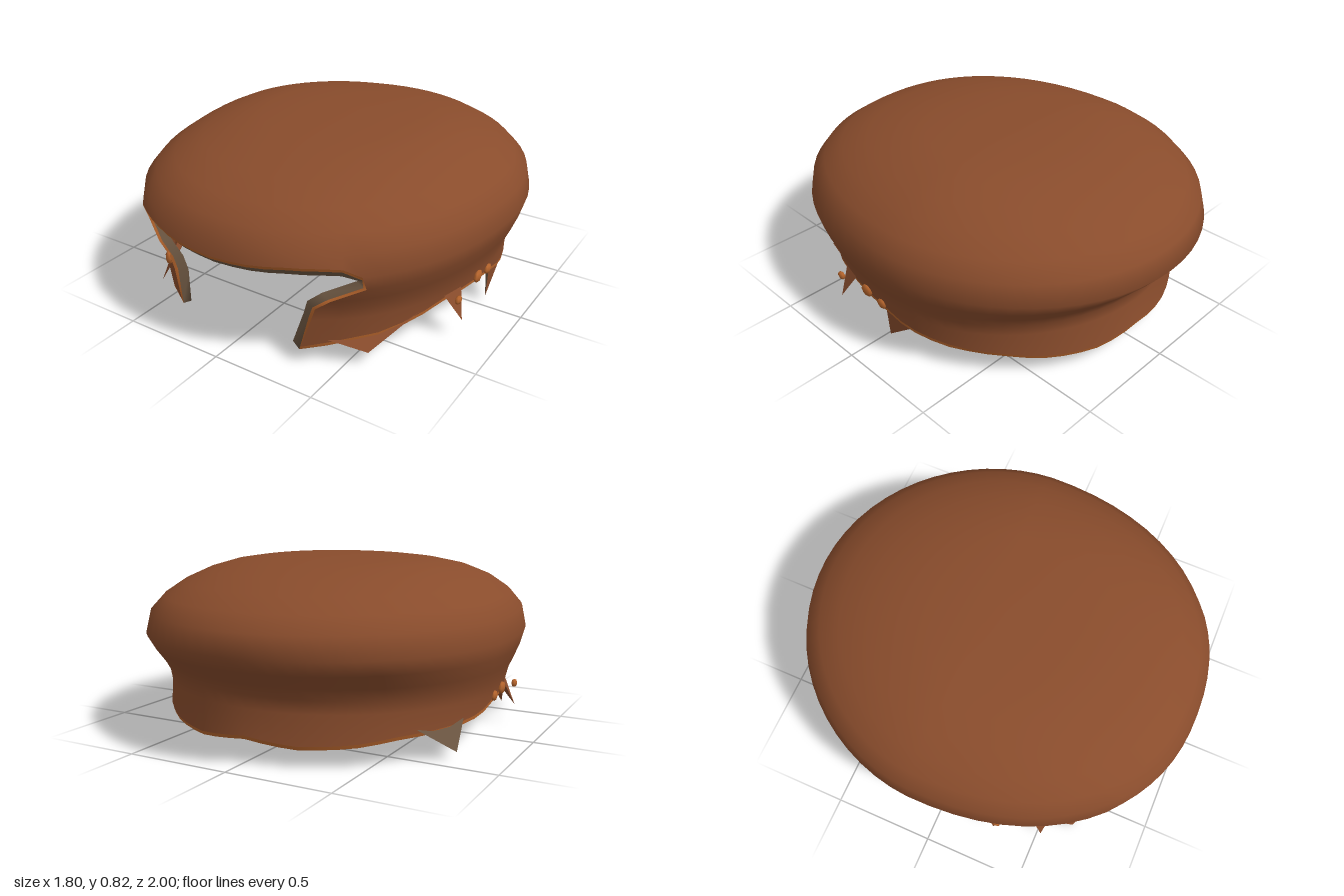
import * as THREE from 'three';

const mat = (name, color, side = THREE.FrontSide) => {
  const m = new THREE.MeshStandardMaterial({ color, side });
  m.name = name;
  return m;
};

// piecewise linear lookup in [[key, value], ...] with rising keys
function lookup(table, k) {
  if (k <= table[0][0]) return table[0][1];
  for (let i = 1; i < table.length; i++) {
    const [k0, v0] = table[i - 1], [k1, v1] = table[i];
    if (k <= k1) return v0 + (v1 - v0) * (k - k0) / (k1 - k0);
  }
  return table[table.length - 1][1];
}

// rows from crown to hem: height, half width, front z, back z, start angle of the side locks
const ROWS = [
  [0.825, 0, -0.08, -0.08], [0.822, 0.22, 0.17, -0.2], [0.812, 0.4, 0.36, -0.34],
  [0.795, 0.51, 0.5, -0.48], [0.76, 0.63, 0.69, -0.64], [0.71, 0.735, 0.84, -0.79],
  [0.65, 0.82, 0.93, -0.9], [0.58, 0.88, 0.98, -0.975], [0.48, 0.9, 1, -1.003, 0.695],
  [0.41, 0.88, 0.985, -0.945, 0.72], [0.345, 0.855, 0.95, -0.88, 0.55], [0.29, 0.83, 0.92, -0.845, 0.47],
  [0.23, 0.815, 0.91, -0.84, 0.45], [0.1, 0.81, 0.905, -0.865, 0.39],
];
const BROW = 8, LAST = ROWS.length - 1, FRONT = 8, HALF = 32, COLS = 64, A0 = 0.695, CZ = -0.08;
const BROW_EDGE = [[0, 0.505], [0.2, 0.515], [0.36, 0.53], [0.56, 0.53], [0.63, 0.52], [A0, 0.48]];
const HEM = [[0.39, 0.085], [0.52, 0.11], [0.65, 0.13], [0.75, 0.13], [0.95, 0.16], [1.2, 0.205],
  [1.35, 0.2], [1.5, 0.195], [1.7, 0.16], [2, 0.14], [2.3, 0.13], [2.55, 0.105], [2.85, 0.095], [Math.PI, 0.12]];

// point on the outer surface
function surfacePoint(row, col) {
  const side = col > HALF ? -1 : 1;
  const j = col > HALF ? COLS - col : col;
  let a = j <= FRONT ? A0 * j / FRONT : A0 + (Math.PI - A0) * (j - FRONT) / (HALF - FRONT);
  let [y, w, f, b, start] = ROWS[row];
  if (row > BROW) {
    const t = Math.max(0, (a - A0) / (Math.PI - A0));
    a += (start - A0) * (1 - t) ** 3;
  }
  if (row === BROW && j < FRONT) y = lookup(BROW_EDGE, a);
  if (row === LAST) y = lookup(HEM, a);
  const s = Math.sin(a), c = Math.cos(a);
  const e = c > 0 ? 0.91 : 1.06;
  const x = side * w * Math.abs(s) ** (c > 0 ? 0.91 : 1);
  const z = CZ + Math.abs(c) ** e * ((c > 0 ? f : b) - CZ);
  return new THREE.Vector3(x, y, z);
}

function buildGeometry(positions, index) {
  const g = new THREE.BufferGeometry();
  g.setAttribute('position', new THREE.Float32BufferAttribute(positions, 3));
  g.setIndex(index);
  g.computeVertexNormals();
  return g;
}

// strip between two closed loops of points
function ribbon(loopA, loopB) {
  const n = loopA.length, pos = [], idx = [];
  for (const p of [...loopA, ...loopB]) pos.push(p.x, p.y, p.z);
  for (let i = 0; i < n; i++) {
    const k = (i + 1) % n;
    idx.push(i, n + i, n + k, i, n + k, k);
  }
  return buildGeometry(pos, idx);
}

// pointed blade hanging from two hem points and one point behind them; group 1 is its back
function blade(a, b, c, tip) {
  const pos = [a, b, c, tip].flatMap((p) => p.toArray());
  const g = buildGeometry(pos, [0, 3, 1, 1, 3, 2, 2, 3, 0, 0, 1, 2]).toNonIndexed();
  g.computeVertexNormals();
  g.addGroup(0, 3, 0);
  g.addGroup(3, 9, 1);
  return g;
}

export function createModel() {
  const group = new THREE.Group();
  const hair = mat('hairBrown', 0x894c2c);
  const edge = mat('edgeOrange', 0xb5642c, THREE.DoubleSide);
  const under = mat('undersideGrey', 0x6e5843, THREE.DoubleSide);
  const add = (name, geo, m) => {
    const mesh = new THREE.Mesh(geo, m);
    mesh.name = name;
    group.add(mesh);
    return mesh;
  };

  // outer shell, left open over the face
  const pos = [], idx = [], idxIn = [];
  for (let r = 0; r <= LAST; r++)
    for (let c = 0; c < COLS; c++) pos.push(...surfacePoint(r, c).toArray());
  for (let r = 0; r < LAST; r++)
    for (let c = 0; c < COLS; c++) {
      if (r >= BROW && (c < FRONT || c >= COLS - FRONT)) continue;
      const d = (c + 1) % COLS;
      const p = r * COLS + c, q = p + COLS, u = (r + 1) * COLS + d, v = r * COLS + d;
      idx.push(p, q, u, p, u, v);
      idxIn.push(p, u, q, p, v, u);
    }
  const outer = buildGeometry(pos, idx);
  const normals = outer.attributes.normal;
  for (let c = 0; c < COLS; c++) normals.setXYZ(c, 0, 1, 0);
  add('outerHair', outer, hair);

  // closed path around the opening and hem: row, column, inner edge shift x and y, lip shift x and y
  const path = [];
  for (let c = FRONT; c <= COLS - FRONT; c++) {
    const corner = c === FRONT ? -0.04 : c === COLS - FRONT ? 0.04 : 0;
    const peak = Math.max(0, 1 - Math.abs(c - 31.5) / 3.5) * 0.07;
    const rise = Math.abs(c - HALF) < 11 ? 0.025 : 0.005;
    path.push([LAST, c, corner, rise + peak, 0, -0.016]);
  }
  for (let r = LAST - 1; r > BROW; r--) path.push([r, COLS - FRONT, 0.04, -0.005, 0.008, 0]);
  for (let c = COLS - FRONT; c <= COLS + FRONT; c++) path.push([BROW, c % COLS, 0, -0.035, 0, -0.014]);
  for (let r = BROW + 1; r < LAST; r++) path.push([r, FRONT, -0.04, -0.005, -0.008, 0]);

  // inner shell, set in along the normals, thinning out at the side hem
  const inside = pos.slice();
  for (let i = 0; i < inside.length / 3; i++) {
    const sideHem = i >= LAST * COLS && Math.abs(i % COLS - HALF) >= 11;
    const depth = sideHem ? 0.014 : 0.035;
    inside[i * 3] -= normals.getX(i) * depth;
    inside[i * 3 + 1] -= normals.getY(i) * depth;
    inside[i * 3 + 2] -= normals.getZ(i) * depth;
  }
  for (const [r, c, dx, dy] of path) {
    const i = (r * COLS + c) * 3;
    inside[i] += dx;
    inside[i + 1] += dy;
  }
  add('innerHair', buildGeometry(inside, idxIn), hair);

  // bright lip and grey bevel joining both shells
  const pick = (arr) => path.map(([r, c]) => new THREE.Vector3().fromArray(arr, (r * COLS + c) * 3));
  const outLoop = pick(pos), inLoop = pick(inside);
  const midLoop = outLoop.map((p, i) => {
    const [, , , , lx, ly] = path[i];
    const m = p.clone().lerp(inLoop[i], 0.15);
    return m.set(m.x + lx, (ly < 0 ? p.y : m.y) + ly, m.z);
  });
  add('edgeLip', ribbon(outLoop, midLoop), edge);
  add('edgeBevel', ribbon(midLoop, inLoop), under);

  // ragged pointed locks: side, first and last hem column, tip, front and back material
  const locks = [
    [-1, 10, 14, [-0.64, 0, 0.655], hair, hair], [-1, 12, 13, [-0.75, 0.035, 0.52], hair, hair],
    [-1, 14, 15, [-0.82, 0.09, 0.29], hair, hair], [-1, 20, 23, [-0.78, 0.035, -0.4], under, under],
    [1, 17, 19, [0.8, 0.03, -0.04], hair, under], [1, 9, 13, [0.59, 0.07, 0.7], hair, hair],
    [1, 14, 15, [0.83, 0.09, 0.29], hair, under],
  ];
  for (const [s, c0, c1, tip, front, rear] of locks) {
    const [a, b] = [c0, c1].map((c) => surfacePoint(LAST, s > 0 ? c : COLS - c));
    a.y += 0.015;
    b.y += 0.015;
    const back = a.clone().lerp(b, 0.5);
    back.x -= s * 0.05;
    const ends = s > 0 ? [a, b] : [b, a];
    add('pointedLock', blade(...ends, back, new THREE.Vector3(...tip)), [front, rear]);
  }

  // small curled tufts by the ears and a light strand beside the face: x, y, z, scale
  const curls = [[0.1, 0.215, 0.9], [-0.01, 0.2, 0.75], [0.3, 0.195, 0.6]].flatMap(([z, y, k]) =>
    [-1, 1].map((s) => [s * 0.812, y, z, [0.35, 0.8 * k, k]]));
  curls.push([-0.415, 0.275, 0.815, [0.45, 0.8, 0.35]]);
  for (const [x, y, z, scale] of curls) {
    const curl = add('lightCurl', new THREE.SphereGeometry(0.042, 6, 4), edge);
    curl.scale.set(...scale);
    curl.position.set(x, y, z);
  }
  return group;
}
